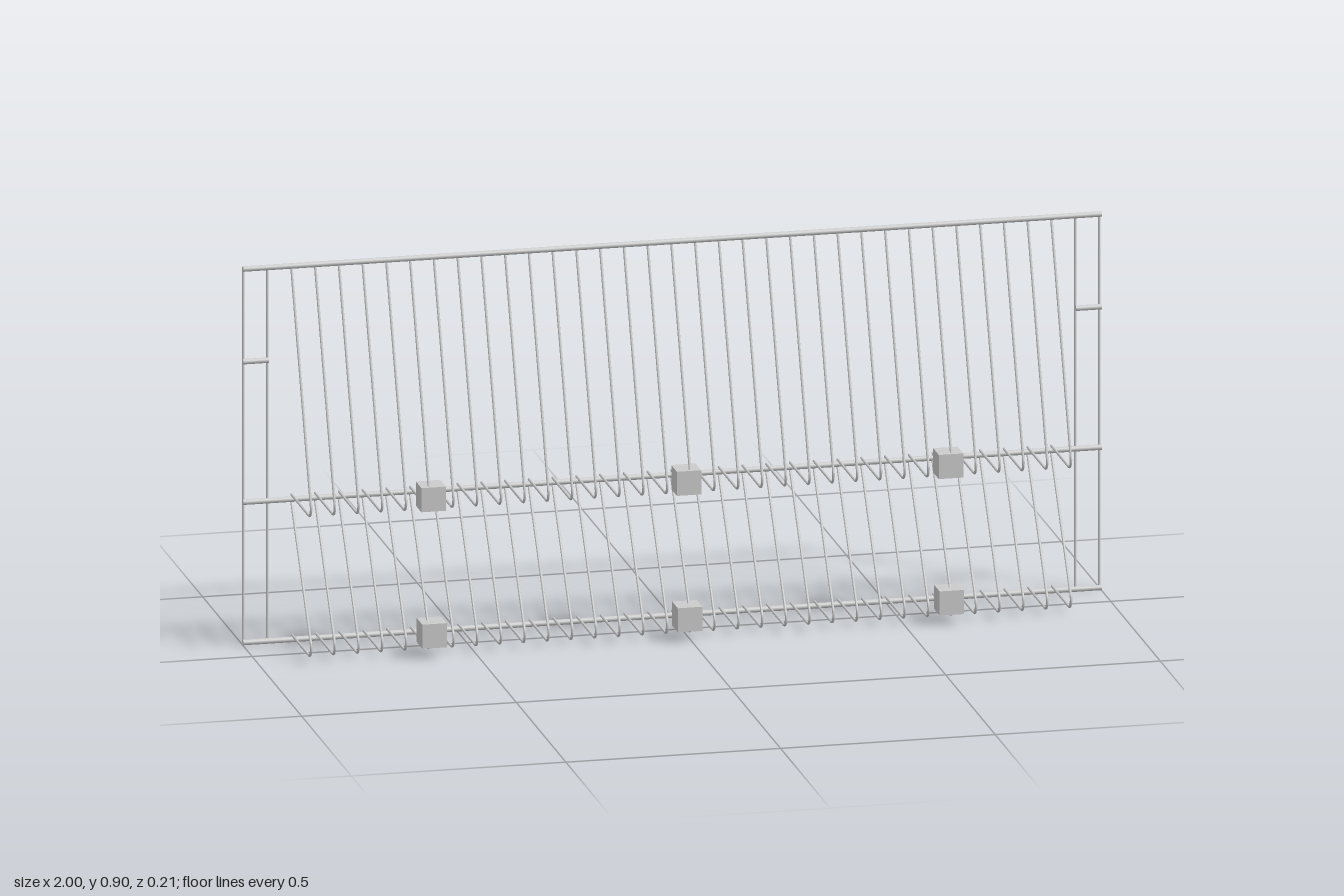
import * as THREE from 'three';
import { mergeGeometries } from 'three/addons/utils/BufferGeometryUtils.js';

const WIRE = 0.003, RAIL = 0.0065, BEND = 0.022;

// Capped round rod between two points
function rodGeometry(a, b, radius, sides = 8) {
  const dir = b.clone().sub(a);
  const g = new THREE.CylinderGeometry(radius, radius, dir.length(), sides);
  const q = new THREE.Quaternion().setFromUnitVectors(new THREE.Vector3(0, 1, 0), dir.normalize());
  return g.applyQuaternion(q).translate(...a.clone().add(b).multiplyScalar(0.5).toArray());
}

// Wire: flat shelf run, rounded front bend, then a slope back up to the rail
function wireGeometry(shelfY, shelfBackZ, cornerZ, topY, topZ) {
  const v = (y, z) => new THREE.Vector3(0, y, z);
  const slope = Math.atan2(topY - shelfY, cornerZ - topZ);
  const t = BEND / Math.tan(slope / 2);
  const bendZ = cornerZ - t;
  const slopeStart = v(shelfY + t * Math.sin(slope), cornerZ - t * Math.cos(slope));
  const bend = new THREE.TorusGeometry(BEND, WIRE, 8, 10, Math.PI - slope)
    .rotateZ(-Math.PI / 2).rotateY(-Math.PI / 2).translate(0, shelfY + BEND, bendZ);
  return mergeGeometries([
    rodGeometry(v(shelfY, shelfBackZ), v(shelfY, bendZ), WIRE),
    bend,
    rodGeometry(slopeStart, v(topY, topZ), WIRE),
  ]);
}

export function createModel() {
  const model = new THREE.Group();
  model.name = 'wireRack';
  const material = new THREE.MeshStandardMaterial({ color: 0xcccccc });
  const add = (name, geometry, x = 0, y = 0, z = 0) => {
    const mesh = new THREE.Mesh(geometry, material);
    mesh.name = name;
    mesh.position.set(x, y, z);
    model.add(mesh);
  };
  const railZ = -0.094, postZ = -0.103;

  // Long horizontal rails
  const rail = rodGeometry(new THREE.Vector3(-1, 0, 0), new THREE.Vector3(1, 0, 0), RAIL, 12);
  for (const [name, y] of [['bottomRail', 0.0075], ['middleRail', 0.339], ['topRail', 0.89]])
    add(name, rail, 0, y, railZ);

  // End posts in pairs, joined by a short tie
  const post = rodGeometry(new THREE.Vector3(0, 0.008, 0), new THREE.Vector3(0, 0.89, 0), WIRE);
  const tie = rodGeometry(new THREE.Vector3(-0.03, 0, 0), new THREE.Vector3(0.03, 0, 0), RAIL, 12);
  for (const [side, s] of [['left', 1], ['right', -1]]) {
    add(side + 'OuterPost', post, s * 0.997, 0, postZ);
    add(side + 'InnerPost', post, s * 0.941, 0, postZ);
    add(side + 'Tie', tie, s * 0.97, 0.671, railZ);
  }

  // Two tiers of bent wires
  const upper = wireGeometry(0.348, -0.101, 0.107, 0.887, -0.102);
  const lower = wireGeometry(0.018, -0.094, 0.118, 0.333, -0.102);
  const count = 33, span = 1.77;
  for (let i = 0; i < count; i++) {
    const x = -span / 2 + (span * i) / (count - 1);
    add('upperWire', upper, x);
    add('lowerWire', lower, x);
  }

  // Small blocks clipped on the front bends
  const block = new THREE.BoxGeometry(0.057, 0.057, 0.057);
  for (const x of [-0.6, -0.005, 0.605]) {
    add('upperBlock', block, x, 0.374, 0.071);
    add('lowerBlock', block, x, 0.054, 0.08);
  }
  return model;
}
